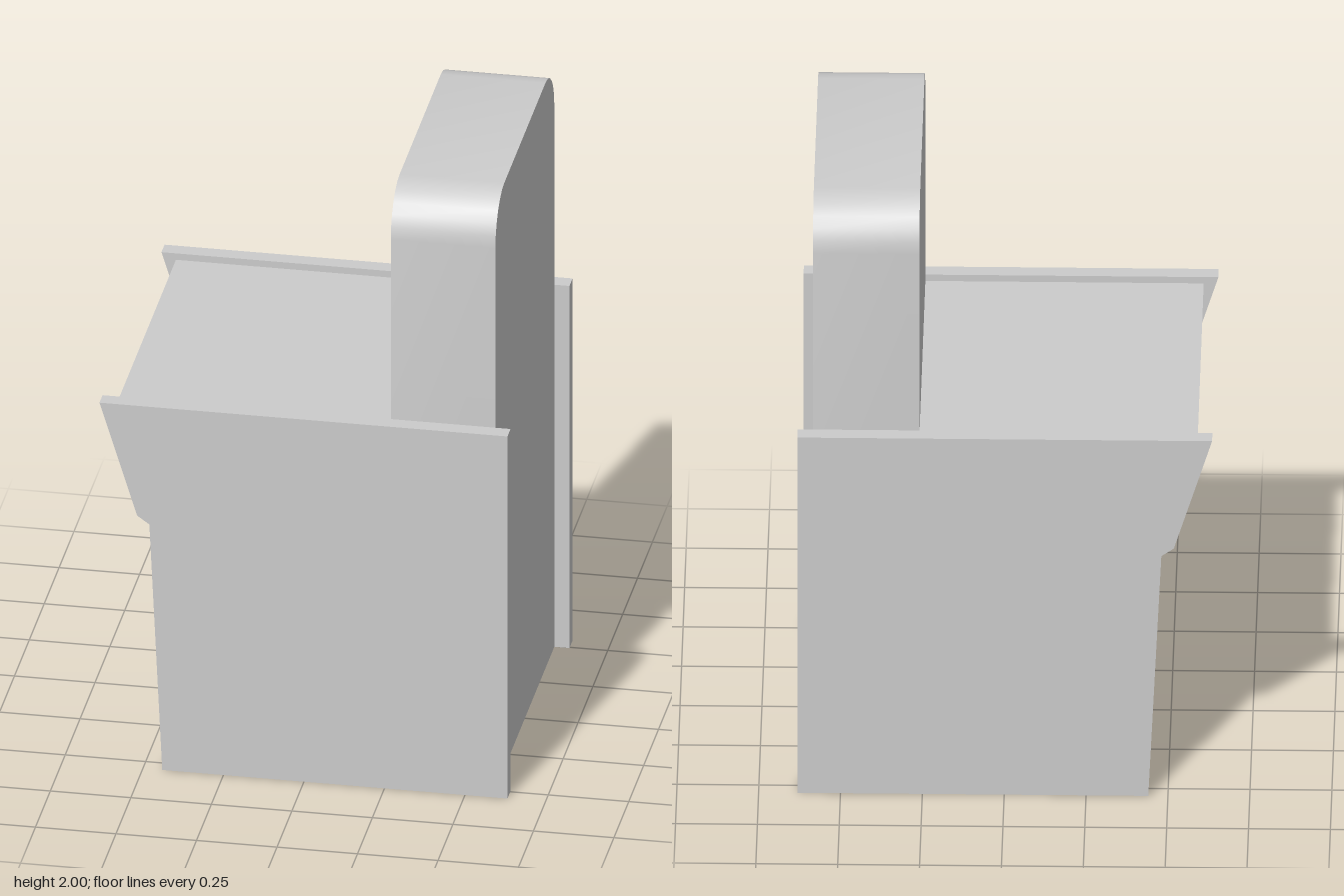
import * as THREE from 'three';
import { toCreasedNormals } from 'three/addons/utils/BufferGeometryUtils.js';

const material = new THREE.MeshStandardMaterial({ color: 0xcccccc });

function part(name, geometry) {
  const mesh = new THREE.Mesh(geometry, material);
  mesh.name = name;
  return mesh;
}

// Extrudes an x-y outline along z, centred on z = mid
function slab(points, depth, mid) {
  const shape = new THREE.Shape(points.map(([x, y]) => new THREE.Vector2(x, y)));
  return new THREE.ExtrudeGeometry(shape, { depth, bevelEnabled: false }).translate(0, 0, mid - depth / 2);
}

export function createModel() {
  const group = new THREE.Group();
  const halfWidth = 0.495, panelThickness = 0.052;
  const backrestFront = 0.26, backrestBack = 0.585;

  // Two side panels, with the overhanging lip at the seat's front
  const panelOutline = [
    [-0.44, 0], [0.632, 0], [0.632, 1.237], [-0.635, 1.237], [-0.518, 0.862], [-0.48, 0.835],
  ];
  for (const [side, name] of [[1, 'sidePanelFront'], [-1, 'sidePanelBack']]) {
    group.add(part(name, slab(panelOutline, panelThickness, side * (halfWidth + panelThickness / 2))));
  }

  // Seat box, slightly recessed between the panels
  const seatOutline = [
    [-0.405, 0], [backrestFront, 0], [backrestFront, 1.215], [-0.59, 1.215], [-0.47, 0.85], [-0.44, 0.835],
  ];
  group.add(part('seatBox', slab(seatOutline, halfWidth * 2, 0)));

  // Backrest running from the floor up to rounded top corners
  const r = 0.15, top = 2;
  const outline = new THREE.Shape();
  outline.moveTo(-halfWidth, 0);
  outline.lineTo(halfWidth, 0);
  outline.lineTo(halfWidth, top - r);
  outline.absarc(halfWidth - r, top - r, r, 0, Math.PI / 2);
  outline.absarc(-halfWidth + r, top - r, r, Math.PI / 2, Math.PI);
  outline.closePath();
  const backrest = new THREE.ExtrudeGeometry(outline, {
    depth: backrestBack - backrestFront, bevelEnabled: false, curveSegments: 3,
  });
  backrest.rotateY(Math.PI / 2).translate(backrestFront, 0, 0);
  group.add(part('backrest', toCreasedNormals(backrest, 0.7)));

  // Small turned knob on the seat box
  const knobProfile = [[0, -0.01], [0.012, -0.01], [0.012, 0.018], [0.025, 0.026], [0.025, 0.038], [0.014, 0.048], [0, 0.048]]
    .map(([x, y]) => new THREE.Vector2(x, y));
  const knob = new THREE.LatheGeometry(knobProfile, 8).rotateZ(Math.PI / 2).translate(-0.43, 0.612, 0);
  group.add(part('knob', toCreasedNormals(knob, 0.5)));

  return group;
}
